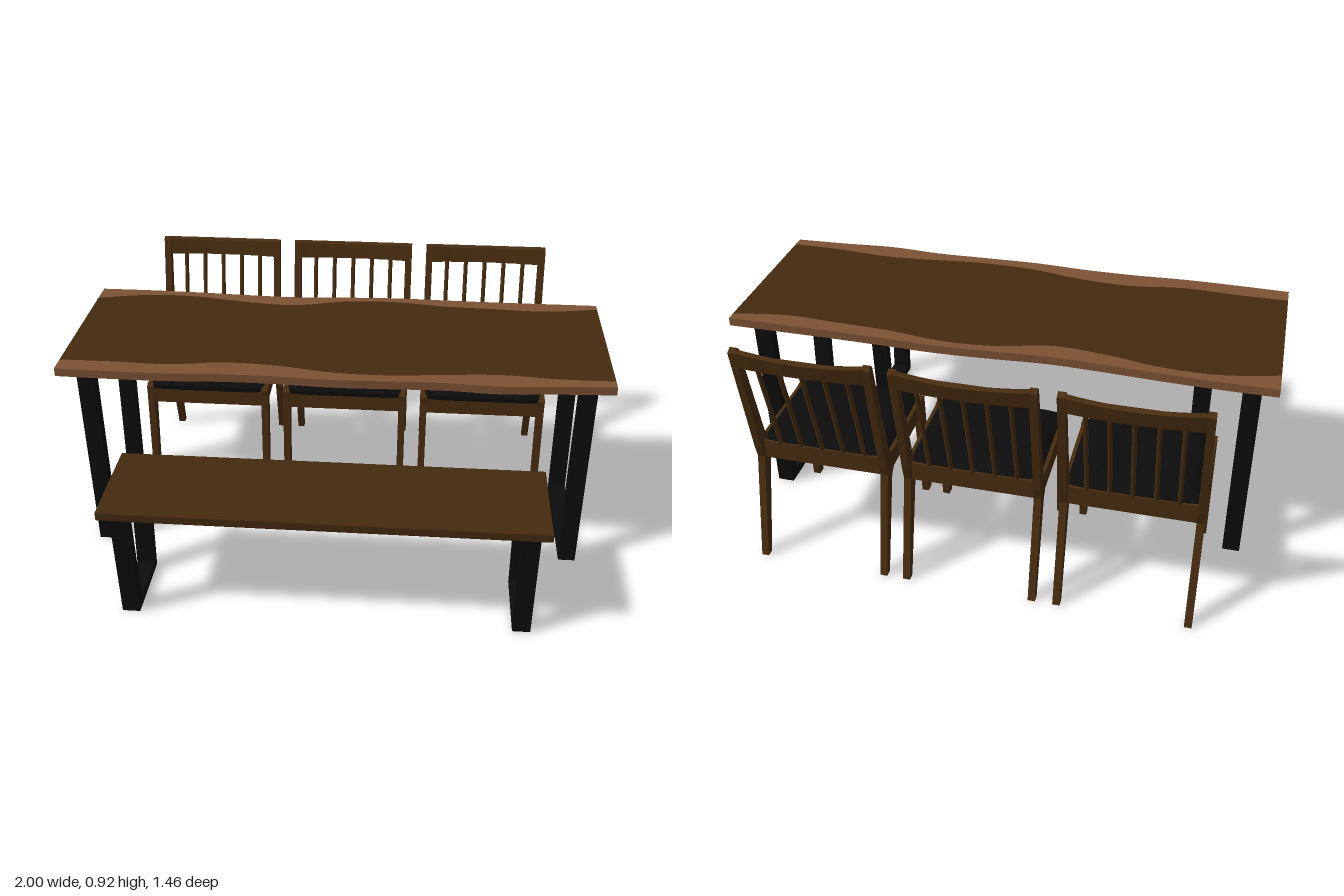
import * as THREE from 'three';
import { RoundedBoxGeometry } from 'three/addons/geometries/RoundedBoxGeometry.js';

const mat = (name, color) => {
  const m = new THREE.MeshStandardMaterial({ color });
  m.name = name;
  return m;
};

const toShape = pts => new THREE.Shape(pts.map(p => new THREE.Vector2(p[0], p[1])));

// Side profile in (z, y), extruded to a width along x and centred on x
function sideExtrude(pts, width, x = 0, hole = null) {
  const shape = toShape(pts);
  if (hole) shape.holes.push(toShape(hole));
  const g = new THREE.ExtrudeGeometry(shape, { depth: width, bevelEnabled: false });
  return g.translate(0, 0, -width / 2).rotateY(-Math.PI / 2).translate(x, 0, 0);
}

// Plan outline in (x, z), extruded between two heights
function planExtrude(pts, y0, y1) {
  const g = new THREE.ExtrudeGeometry(toShape(pts), { depth: y1 - y0, bevelEnabled: false });
  return g.rotateX(Math.PI / 2).translate(0, y1, 0);
}

// Smooth wavy line through z values evenly spaced along the table
function wavyLine(zs) {
  const pts = zs.map((z, i) => new THREE.Vector2(-1 + (2 * i) / (zs.length - 1), z));
  return new THREE.SplineCurve(pts).getPoints(60).map(p => [p.x, p.y]);
}

// Padded seat with rounded rim and shallow diamond tufting
function cushionGeometry() {
  const g = new THREE.BoxGeometry(2, 1, 2, 36, 2, 36);
  const p = g.attributes.position;
  for (let i = 0; i < p.count; i++) {
    const u = p.getX(i), v = p.getZ(i), t = p.getY(i) + 0.5;
    const fall = (1 - Math.abs(u) ** 8) * (1 - Math.abs(v) ** 8);
    const tuft = Math.abs(Math.sin((u + v) * 7.85) * Math.sin((u - v) * 7.85));
    p.setXYZ(i,
      0.234 * u * (1 - 0.04 * v ** 8),
      0.455 + t * (0.018 + (0.026 + 0.005 * tuft) * fall),
      -0.395 + 0.213 * v * (1 - 0.04 * u ** 8));
  }
  g.computeVertexNormals();
  return g;
}

// Top rail bowed backwards and leaning with the posts
function topRailGeometry() {
  const front = [], back = [];
  for (let i = 0; i <= 16; i++) {
    const x = -0.235 + (0.47 * i) / 16;
    const bow = -0.014 * (1 - (x / 0.235) ** 2);
    back.push([x, -0.719 + bow]);
    front.unshift([x, -0.694 + bow]);
  }
  const g = planExtrude([...back, ...front], 0.845, 0.912);
  const p = g.attributes.position;
  for (let i = 0; i < p.count; i++) {
    const x = p.getX(i), y = p.getY(i);
    p.setZ(i, p.getZ(i) - 0.18 * (y - 0.9));
    if (y > 0.88) p.setY(i, y - 0.01 * (1 - (x / 0.235) ** 2));
  }
  g.computeVertexNormals();
  return g;
}

export function createModel() {
  const model = new THREE.Group();
  model.name = 'diningSet';
  const darkWood = mat('darkWood', 0x452b0f);
  const chairWood = mat('chairWood', 0x482d10);
  const sapwood = mat('sapwood', 0x7d5234);
  const blackMetal = mat('blackMetal', 0x0d0d0d);
  const blackLeather = mat('blackLeather', 0x0c0c0d);

  const add = (parent, name, geometry, material) => {
    const m = new THREE.Mesh(geometry, material);
    m.name = name;
    parent.add(m);
    return m;
  };
  const group = name => {
    const g = new THREE.Group();
    g.name = name;
    model.add(g);
    return g;
  };

  // Table: dark heartwood slab between two wavy sapwood edges
  const table = group('table');
  const backOuter = wavyLine([-0.365, -0.365, -0.36, -0.35, -0.345, -0.358, -0.367, -0.363, -0.36, -0.36, -0.36]);
  const backInner = wavyLine([-0.275, -0.32, -0.32, -0.285, -0.27, -0.32, -0.33, -0.305, -0.297, -0.29, -0.325]);
  const frontInner = wavyLine([0.26, 0.26, 0.265, 0.235, 0.245, 0.28, 0.285, 0.265, 0.25, 0.265, 0.265]);
  const frontOuter = wavyLine([0.33, 0.335, 0.335, 0.325, 0.325, 0.335, 0.33, 0.325, 0.335, 0.32, 0.31]);
  const slab = (name, a, b, material) =>
    add(table, name, planExtrude([...a, ...[...b].reverse()], 0.784, 0.815), material);
  slab('backEdge', backOuter, backInner, sapwood);
  slab('tabletop', backInner, frontInner, darkWood);
  slab('frontEdge', frontInner, frontOuter, sapwood);

  // Tapered metal leg frames
  for (const s of [-1, 1]) {
    add(table, 'tableLegFrame', sideExtrude(
      [[0.24, 0], [0.268, 0.784], [-0.287, 0.784], [-0.264, 0]], 0.064, s * 0.911,
      [[0.198, 0.038], [0.222, 0.745], [-0.241, 0.745], [-0.22, 0.038]]), blackMetal);
  }

  // Bench
  const bench = group('bench');
  add(bench, 'benchSeat', new RoundedBoxGeometry(1.565, 0.036, 0.385, 2, 0.006)
    .translate(-0.002, 0.457, 0.532), darkWood);
  for (const s of [-1, 1]) {
    add(bench, 'benchLegFrame', sideExtrude(
      [[0.672, 0], [0.7, 0.44], [0.365, 0.44], [0.392, 0]], 0.065, s * 0.711,
      [[0.633, 0.038], [0.656, 0.4], [0.41, 0.4], [0.432, 0.038]]), blackMetal);
  }

  // Chairs share their geometry
  const backPost = [[-0.71, 0], [-0.68, 0], [-0.582, 0.385], [-0.563, 0.4], [-0.563, 0.468],
    [-0.598, 0.505], [-0.69, 0.91], [-0.7, 0.92], [-0.722, 0.908], [-0.64, 0.46], [-0.627, 0.41]];
  const frontLeg = [[-0.157, 0], [-0.185, 0.44], [-0.183, 0.462], [-0.195, 0.47],
    [-0.238, 0.47], [-0.238, 0.4], [-0.192, 0]];
  const sideRail = [[-0.235, 0.4], [-0.235, 0.47], [-0.57, 0.47], [-0.57, 0.4]];
  const frontRail = [[-0.19, 0.39], [-0.192, 0.462], [-0.215, 0.462], [-0.215, 0.39]];
  const rearRail = [[-0.59, 0.4], [-0.59, 0.472], [-0.615, 0.472], [-0.615, 0.4]];
  const postGeo = sideExtrude(backPost, 0.027);
  const legGeo = sideExtrude(frontLeg, 0.027);
  const sideGeo = sideExtrude(sideRail, 0.022);
  const frontGeo = sideExtrude(frontRail, 0.47);
  const rearGeo = sideExtrude(rearRail, 0.47);
  const topGeo = topRailGeometry();
  const cushionGeo = cushionGeometry();

  for (const cx of [-0.56, 0.005, 0.567]) {
    const chair = group('chair');
    chair.position.x = cx;
    for (const s of [-1, 1]) {
      add(chair, 'backPost', postGeo, chairWood).position.x = s * 0.237;
      add(chair, 'frontLeg', legGeo, chairWood).position.x = s * 0.237;
      add(chair, 'sideRail', sideGeo, chairWood).position.x = s * 0.237;
    }
    add(chair, 'frontRail', frontGeo, chairWood);
    add(chair, 'rearRail', rearGeo, chairWood);
    add(chair, 'topRail', topGeo, chairWood);
    add(chair, 'cushion', cushionGeo, blackLeather);
    // Spindles fan back from the seat to the bowed rail
    for (let i = -2; i <= 2; i++) {
      const a = new THREE.Vector3(i * 0.08, 0.46, -0.605);
      const b = new THREE.Vector3(i * 0.08, 0.865, -0.712 + 0.0016 * i * i);
      const path = new THREE.LineCurve3(a, b);
      add(chair, 'spindle', new THREE.TubeGeometry(path, 1, 0.0085, 10), chairWood);
    }
  }
  return model;
}
